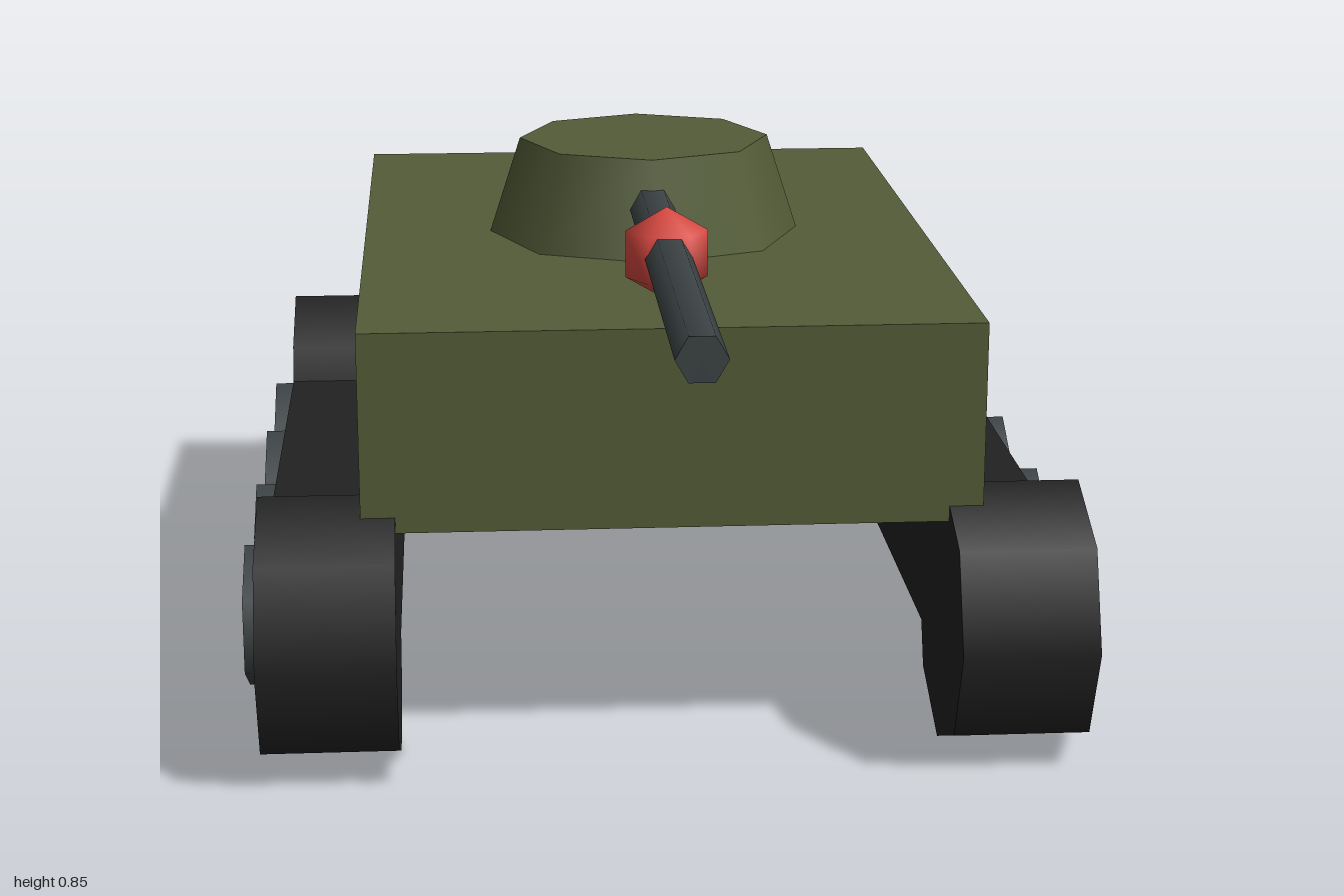
import * as THREE from 'three';

const material = (name, color) => {
  const m = new THREE.MeshStandardMaterial({ color });
  m.name = name;
  return m;
};

export function createModel() {
  const green = material('olive green', 0x535c38);
  const black = material('track black', 0x222222);
  const grey = material('gunmetal grey', 0x3c4345);
  const red = material('red', 0xdc4a42);

  const model = new THREE.Group();
  model.name = 'tank';

  const add = (parent, name, geometry, mat, x, y, z) => {
    const mesh = new THREE.Mesh(geometry, mat);
    mesh.name = name;
    mesh.position.set(x, y, z);
    parent.add(mesh);
  };

  // Few-sided cylinder turned a quarter so that its corners point across the axis
  const prism = (radius, length, sides) =>
    new THREE.CylinderGeometry(radius, radius, length, sides).rotateY(Math.PI / 2);

  // Hull and turret
  const centreZ = -0.158;
  add(model, 'hull', new THREE.BoxGeometry(0.948, 0.312, 1.368), green, 0, 0.53, centreZ);
  add(model, 'turret', new THREE.CylinderGeometry(0.21, 0.262, 0.16, 8), green, 0, 0.766, centreZ);

  // Gun barrel with a red ball round its middle
  add(model, 'barrel', prism(0.037, 1.26, 6).rotateX(Math.PI / 2), grey, 0, 0.766, 0.37);
  add(model, 'barrelBall', new THREE.SphereGeometry(0.073, 6, 3), red, 0, 0.764, 0.368);

  // Running gear on each side
  for (const [side, s] of [['left', 1], ['right', -1]]) {
    const track = new THREE.Group();
    track.name = side + 'Track';
    model.add(track);

    add(track, 'trackBeam', new THREE.BoxGeometry(0.209, 0.167, 1.265), black, s * 0.526, 0.214, centreZ);

    for (const [name, z] of [['frontWheel', 0.474], ['rearWheel', -0.79]]) {
      add(track, name, prism(0.21, 0.209, 8).rotateZ(Math.PI / 2), black, s * 0.526, 0.21, z);
    }

    // Hexagonal road wheels
    for (let i = 0; i < 4; i++) {
      add(track, 'roadWheel' + (i + 1), prism(0.118, 0.064, 6).rotateZ(Math.PI / 2), grey,
        s * 0.632, 0.172, 0.316 - i * 0.316);
    }
  }

  return model;
}
